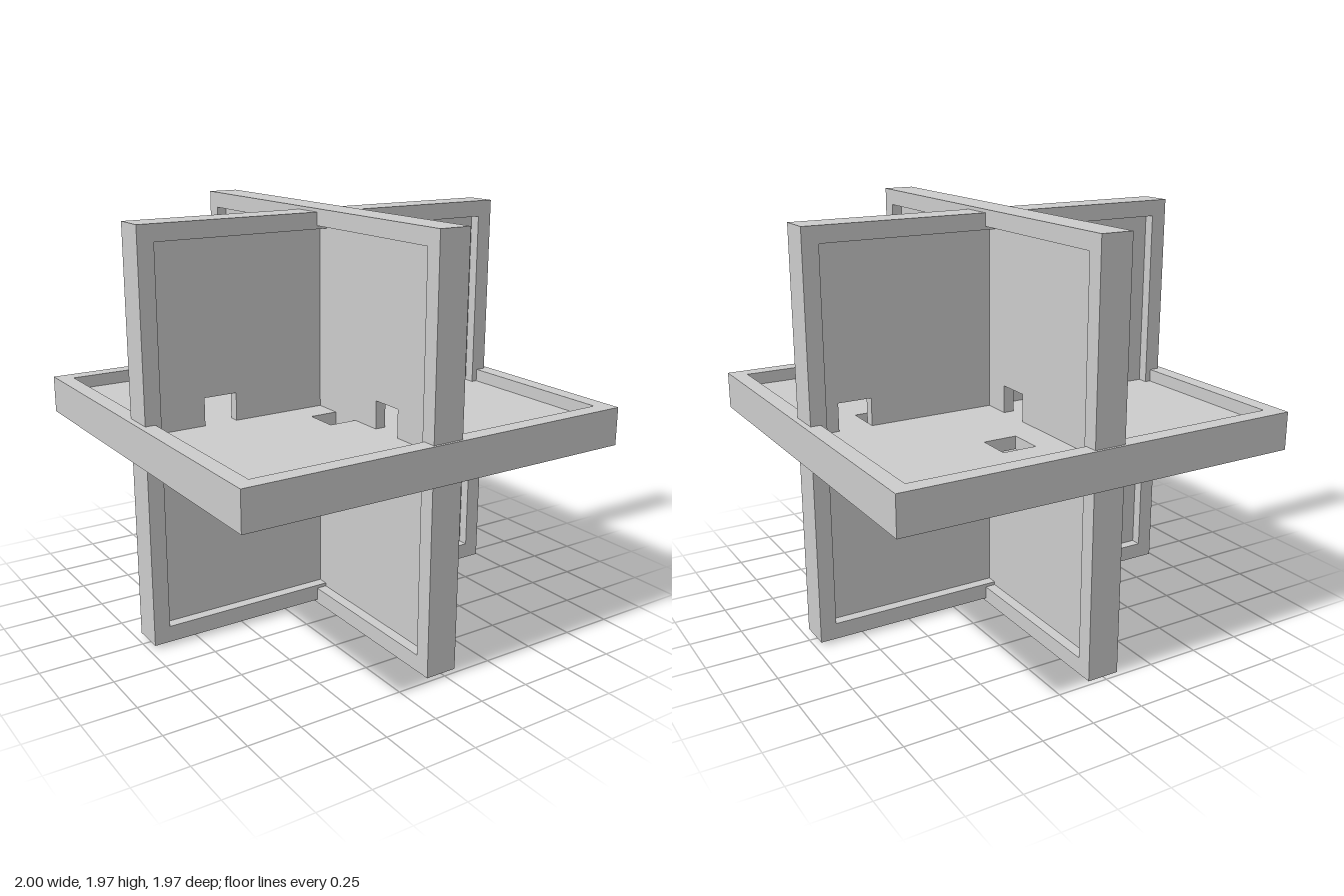
import * as THREE from 'three';

const CELL = 0.163;   // grid pitch of the openings
const RIM = 0.078;    // width of the raised border
const CENTRE = 0.987; // height of the middle of the model

function rect(target, x0, y0, x1, y1) {
  target.moveTo(x0, y0);
  target.lineTo(x1, y0);
  target.lineTo(x1, y1);
  target.lineTo(x0, y1);
  target.closePath();
  return target;
}

function slab(shape, depth, name, material) {
  const geometry = new THREE.ExtrudeGeometry(shape, { depth, bevelEnabled: false });
  geometry.translate(0, 0, -depth / 2);
  const mesh = new THREE.Mesh(geometry, material);
  mesh.name = name;
  return mesh;
}

// A panel is a thick square border around a thin sheet with one-cell openings.
// cells lists the lower corner of each opening in grid units.
function panel(name, halfU, halfV, thickness, cells, material) {
  const group = new THREE.Group();
  group.name = name;
  const u = halfU - RIM, v = halfV - RIM;

  const border = rect(new THREE.Shape(), -halfU, -halfV, halfU, halfV);
  border.holes.push(rect(new THREE.Path(), -u, -v, u, v));
  group.add(slab(border, thickness, name + 'Rim', material));

  const lap = 0.01; // sheet is let into the rim
  const sheet = rect(new THREE.Shape(), -u - lap, -v - lap, u + lap, v + lap);
  for (const [i, j] of cells) {
    sheet.holes.push(rect(new THREE.Path(), i * CELL, j * CELL, (i + 1) * CELL, (j + 1) * CELL));
  }
  group.add(slab(sheet, thickness / 3, name + 'Sheet', material));
  return group;
}

export function createModel() {
  const model = new THREE.Group();
  model.name = 'interlockedPanels';
  const material = new THREE.MeshStandardMaterial({ color: 0xcccccc, flatShading: true });

  // Upright panel facing the front (u = x, v = y)
  const frontPanel = panel('frontPanel', 0.971, 0.971, 0.155,
    [[-4, 0], [-3, -1], [1, -1], [4, 0]], material);

  // Upright panel facing the sides (u = z, v = y)
  const sidePanel = panel('sidePanel', 0.974, 0.987, 0.155,
    [[3, 0], [-2, 0], [-3, -1], [1, -2]], material);
  sidePanel.rotation.y = -Math.PI / 2;

  // Level panel (u = x, v = z)
  const levelPanel = panel('levelPanel', 1, 0.987, 0.184,
    [[-1, -4], [1, -4], [-1, 1], [3, 0]], material);
  levelPanel.rotation.x = Math.PI / 2;

  for (const part of [frontPanel, sidePanel, levelPanel]) {
    part.position.y = CENTRE;
    model.add(part);
  }
  return model;
}
